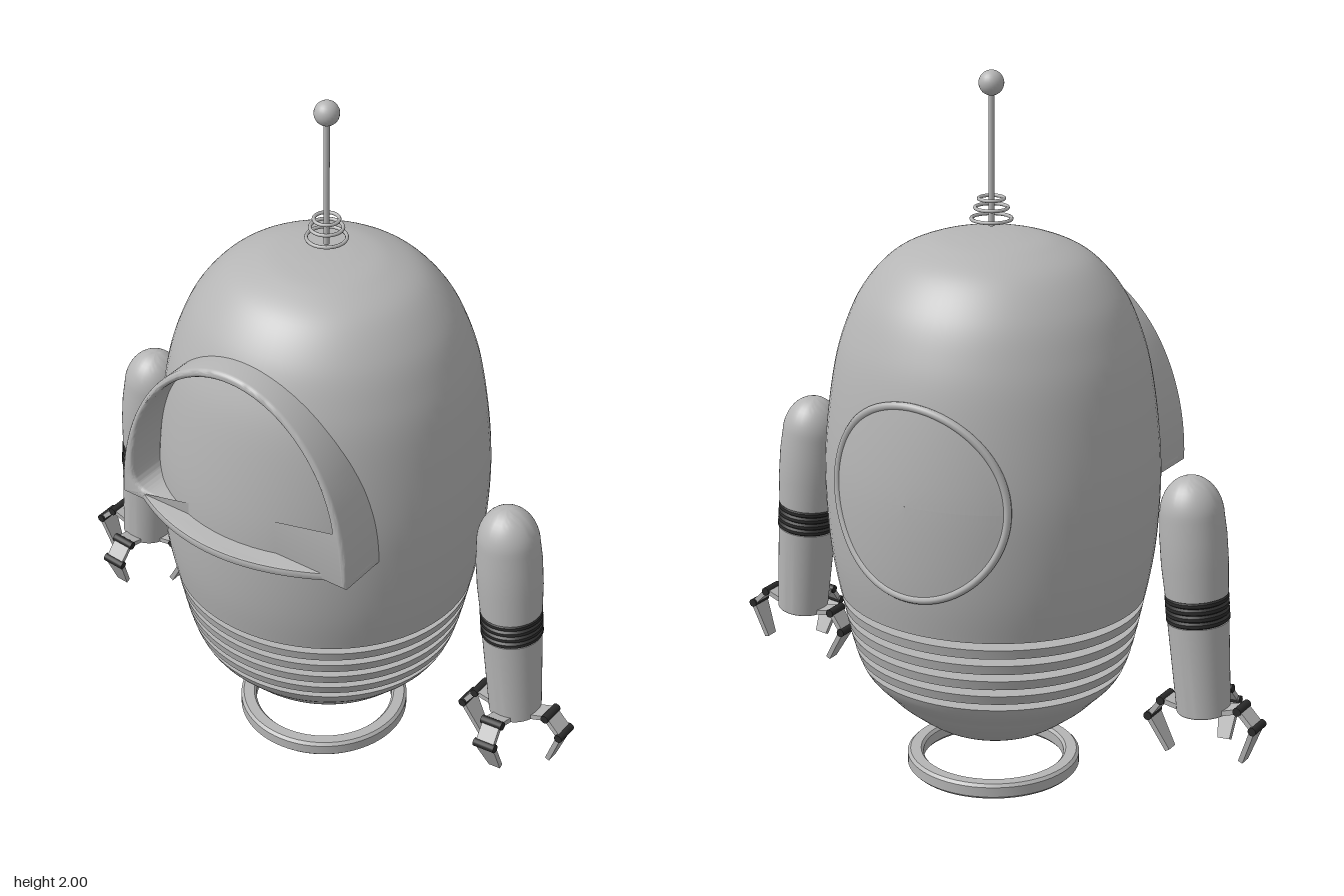
import * as THREE from 'three';
import { toCreasedNormals } from 'three/addons/utils/BufferGeometryUtils.js';

const V2 = (x, y) => new THREE.Vector2(x, y);
const V3 = (x, y, z) => new THREE.Vector3(x, y, z);
const shell = new THREE.MeshStandardMaterial({ color: 0xb5b5b5 });
shell.name = 'shellGrey';
const rubber = new THREE.MeshStandardMaterial({ color: 0x2b2b2b });
rubber.name = 'jointBlack';

function add(parent, name, geometry, material = shell) {
  const mesh = new THREE.Mesh(geometry, material);
  mesh.name = name;
  parent.add(mesh);
  return mesh;
}

const lathe = (points, segments = 48) =>
  toCreasedNormals(new THREE.LatheGeometry(points.map(p => V2(p[0], p[1])), segments), 0.6);

// Body profile, shared by the shell and everything that lies on it
const CZ = -0.027, SZ = 0.96;
const profile = new THREE.SplineCurve([
  [0, 0.11], [0.1, 0.12], [0.18, 0.148], [0.255, 0.2], [0.31, 0.25], [0.38, 0.34], [0.432, 0.55],
  [0.457, 0.7], [0.467, 0.88], [0.459, 1.03], [0.434, 1.2], [0.402, 1.31], [0.353, 1.41],
  [0.275, 1.495], [0.18, 1.54], [0.09, 1.556], [0, 1.56],
].map(p => V2(p[0], p[1]))).getPoints(110);

function radiusAt(y) {
  const i = Math.max(1, profile.findIndex(p => p.y >= y));
  const a = profile[i - 1], b = profile[i];
  return a.x + (b.x - a.x) * (y - a.y) / (b.y - a.y);
}
const backZ = (x, y) => CZ - SZ * Math.sqrt(Math.max(0, radiusAt(y) ** 2 - x * x));

function makeBody() {
  const g = new THREE.Group();
  g.name = 'body';
  // Five square grooves cut round the waist
  const low = 0.328, pitch = 0.0495, gap = 0.022, top = low + 4 * pitch + gap;
  const pts = profile.filter(p => p.y < low - 0.004).map(p => [Math.max(0, p.x), p.y]);
  for (let i = 0; i < 5; i++) {
    const y0 = low + i * pitch, y1 = y0 + gap;
    const r0 = radiusAt(y0), r1 = radiusAt(y1);
    pts.push([r0, y0], [r0 - 0.055, y0], [r1 - 0.055, y1], [r1, y1]);
  }
  pts.push(...profile.filter(p => p.y > top + 0.004).map(p => [Math.max(0, p.x), p.y]));
  const geo = new THREE.LatheGeometry(pts.map(p => V2(p[0], p[1])), 72);
  geo.scale(1, 1, SZ);
  add(g, 'bodyShell', toCreasedNormals(geo, 0.6)).position.set(0.003, 0, CZ);

  // Round back hatch, wrapped on the shell
  const hy = 0.925, hr = 0.265;
  const hatch = new THREE.RingGeometry(0.001, hr, 64, 8);
  hatch.rotateY(Math.PI);
  const pos = hatch.attributes.position;
  for (let i = 0; i < pos.count; i++) {
    const x = pos.getX(i), y = pos.getY(i) + hy;
    pos.setXYZ(i, x, y, backZ(x, y) - 0.005);
  }
  hatch.computeVertexNormals();
  add(g, 'backHatch', hatch);
  const rim = [];
  for (let i = 0; i < 48; i++) {
    const a = i / 48 * Math.PI * 2, x = hr * Math.cos(a), y = hy + hr * Math.sin(a);
    rim.push(V3(x, y, backZ(x, y) - 0.002));
  }
  add(g, 'hatchRim', new THREE.TubeGeometry(new THREE.CatmullRomCurve3(rim, true), 96, 0.011, 8, true));
  return g;
}

function makeVisor() {
  const g = new THREE.Group();
  g.name = 'visor';
  // Arched frame with a rounded opening
  const arch = new THREE.Shape();
  arch.moveTo(-0.375, 0.862);
  arch.lineTo(0.375, 0.862);
  arch.absellipse(0, 0.87, 0.375, 0.52, 0, Math.PI, false);
  const hole = new THREE.Path();
  hole.moveTo(0.335, 0.95);
  hole.absellipse(0, 0.95, 0.335, 0.413, 0, Math.PI, false);
  hole.quadraticCurveTo(-0.335, 0.89, -0.265, 0.89);
  hole.lineTo(0.265, 0.89);
  hole.quadraticCurveTo(0.335, 0.89, 0.335, 0.95);
  arch.holes.push(hole);
  const frame = new THREE.ExtrudeGeometry(arch, {
    depth: 0.16, curveSegments: 40, bevelThickness: 0.012, bevelSize: 0.01, bevelOffset: -0.01, bevelSegments: 3,
  });
  frame.translate(0, 0, 0.226);
  add(g, 'visorFrame', toCreasedNormals(frame, 0.6));

  // Curved sill that bulges out under the window
  const sill = new THREE.Shape();
  sill.moveTo(-0.375, -0.27);
  sill.lineTo(-0.375, -0.35);
  sill.quadraticCurveTo(0, -0.615, 0.375, -0.35);
  sill.lineTo(0.375, -0.27);
  const plate = new THREE.ExtrudeGeometry(sill, {
    depth: 0.014, curveSegments: 32, bevelThickness: 0.005, bevelSize: 0.005, bevelOffset: -0.005, bevelSegments: 2,
  });
  plate.rotateX(-Math.PI / 2);
  plate.translate(0, 0.867, 0);
  add(g, 'visorSill', toCreasedNormals(plate, 0.6));
  return g;
}

function makeAntenna() {
  const g = new THREE.Group();
  g.name = 'antenna';
  add(g, 'antennaRod', new THREE.CylinderGeometry(0.008, 0.008, 0.39, 16)).position.y = 1.775;
  add(g, 'antennaBall', new THREE.SphereGeometry(0.034, 24, 16)).position.y = 1.966;
  [[0.054, 1.6], [0.044, 1.63], [0.034, 1.655]].forEach(([r, y]) => {
    const ring = new THREE.TorusGeometry(r, 0.005, 8, 32);
    ring.rotateX(Math.PI / 2);
    add(g, 'antennaRing', ring).position.y = y;
  });
  g.position.set(0.005, 0, -0.03);
  return g;
}

// Tapered flat link between two points in the xy plane
function link(a, b, w0, w1, thick) {
  const geo = new THREE.BoxGeometry(thick, a.distanceTo(b), 1);
  const p = geo.attributes.position;
  for (let i = 0; i < p.count; i++) p.setZ(i, p.getZ(i) * (p.getY(i) < 0 ? w0 : w1));
  geo.computeVertexNormals();
  geo.rotateZ(Math.atan2(b.y - a.y, b.x - a.x) - Math.PI / 2);
  geo.translate((a.x + b.x) / 2, (a.y + b.y) / 2, 0);
  return geo;
}

function makeClaw() {
  const g = new THREE.Group();
  g.name = 'claw';
  const root = V2(0.05, 0.005), bend = V2(0.115, 0.022), elbow = V2(0.157, -0.028), tip = V2(0.11, -0.128);
  add(g, 'clawBase', link(root, bend, 0.055, 0.055, 0.014));
  add(g, 'clawMiddle', link(bend, elbow, 0.055, 0.055, 0.014));
  add(g, 'clawTip', link(elbow, tip, 0.062, 0.036, 0.014));
  for (const p of [bend, elbow]) {
    const pin = new THREE.CylinderGeometry(0.012, 0.012, 0.066, 14);
    pin.rotateX(Math.PI / 2);
    add(g, 'clawJoint', pin, rubber).position.set(p.x, p.y, 0);
  }
  return g;
}

function makeArm(name, side, z) {
  const g = new THREE.Group();
  g.name = name;
  add(g, 'lowerArm', lathe([[0, 0], [0.07, 0], [0.073, 0.004], [0.083, 0.26], [0, 0.26]]));
  // Ribbed elbow
  const ribs = [[0, 0.258]];
  for (let i = 0; i < 4; i++) {
    const y = 0.26 + i * 0.019;
    ribs.push([0.079, y], [0.086, y + 0.005], [0.086, y + 0.014], [0.079, y + 0.019]);
  }
  ribs.push([0, 0.338]);
  add(g, 'elbow', lathe(ribs), rubber);
  // Upper arm with a domed shoulder
  const upper = [[0, 0.336], [0.085, 0.336], [0.09, 0.42], [0.09, 0.5]];
  for (let i = 0; i <= 12; i++) {
    const a = i / 12 * Math.PI / 2;
    upper.push([0.086 * Math.cos(a), 0.555 + 0.108 * Math.sin(a)]);
  }
  add(g, 'upperArm', lathe(upper));
  for (const turn of [0, Math.PI, -Math.PI / 2]) {
    const claw = makeClaw();
    claw.rotation.y = turn;
    g.add(claw);
  }
  g.position.set(side * 0.67, 0.33, z);
  g.rotation.z = side * 0.09;
  return g;
}

export function createModel() {
  const model = new THREE.Group();
  model.name = 'robot';
  model.add(makeBody(), makeVisor(), makeAntenna());
  model.add(makeArm('leftArm', 1, -0.008), makeArm('rightArm', -1, -0.045));
  // Floating base ring
  add(model, 'baseRing', lathe([
    [0.207, 0], [0.237, 0], [0.245, 0.008], [0.245, 0.037], [0.237, 0.045],
    [0.207, 0.045], [0.2, 0.037], [0.2, 0.008], [0.207, 0],
  ], 64)).position.set(0.003, 0, -0.025);
  return model;
}
